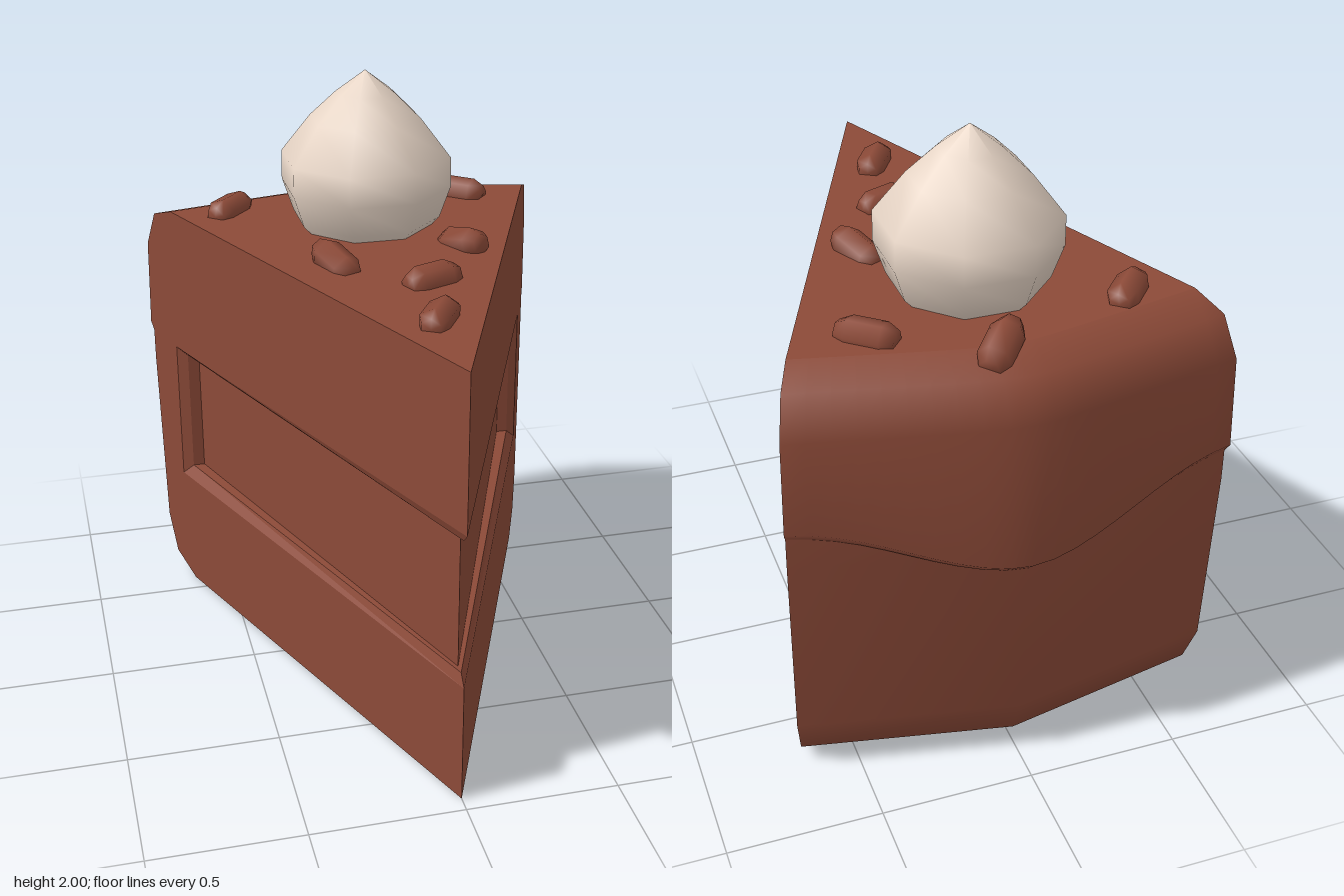
import * as THREE from 'three';

const TIP = 0.945, HALF = Math.PI / 8;
const S = Math.sin(HALF), C = Math.cos(HALF);

function buildGeometry(points, index) {
  const g = new THREE.BufferGeometry();
  g.setAttribute('position', new THREE.Float32BufferAttribute(points.flat(), 3));
  g.setIndex(index);
  g.computeVertexNormals();
  return g;
}

// Point on the curved back: t runs -1..1 across, r is the distance from the tip
function backPoint(t, r, y, rounded) {
  const f = rounded ? 1 - (Math.sqrt(t * t + 0.02) - 0.1414) / 0.8685 : 1 - Math.abs(t);
  return [r * S * t, y, TIP - r * (C + (1 - C) * f)];
}

// Smooth sheet, rows from bottom to top
function sheet(rows) {
  const n = rows[0].length, index = [];
  for (let i = 0; i < rows.length - 1; i++) {
    for (let j = 0; j < n - 1; j++) {
      const a = i * n + j, b = a + n;
      index.push(a, b, a + 1, a + 1, b, b + 1);
    }
  }
  return buildGeometry(rows.flat(), index);
}

// Flat cap fanning out from the tip
function cap(row, y, up) {
  const index = [];
  for (let j = 1; j < row.length; j++) index.push(0, up ? j + 1 : j, up ? j : j + 1);
  return buildGeometry([[0, y, TIP], ...row], index);
}

export function createModel() {
  const group = new THREE.Group();
  const chocolate = new THREE.MeshStandardMaterial({ color: 0x8c4a38, side: THREE.DoubleSide });
  chocolate.name = 'chocolate';
  const cream = new THREE.MeshStandardMaterial({ color: 0xe6d4c5 });
  cream.name = 'cream';
  const add = (name, geometry, material = chocolate) => {
    const mesh = new THREE.Mesh(geometry, material);
    mesh.name = name;
    group.add(mesh);
    return mesh;
  };

  // Sponge back and underside
  const spongeRows = [[1.646, 0], [1.777, 0.06], [1.83, 0.2], [1.86, 0.85], [1.86, 1.02]]
    .map(([r, y]) => [-1, 0, 1].map(t => backPoint(t, r, y, false)));
  add('spongeBack', sheet(spongeRows));
  add('spongeBottom', cap(spongeRows[0], 0, false));

  // Icing with a wavy lower edge that hangs lowest in the middle
  const ts = Array.from({ length: 21 }, (_, i) => i / 10 - 1);
  const dip = t => 0.5 + 0.5 * Math.cos(Math.PI * t);
  const edge = t => 0.96 - 0.18 * dip(t);
  const icingRows = [
    ts.map(t => backPoint(t, 1.858, edge(t), true)),
    ts.map(t => backPoint(t, 1.88 + 0.01 * dip(t), edge(t) + 0.03, true)),
    ...[[1.868, 1.3], [1.805, 1.43], [1.685, 1.47]]
      .map(([r, y]) => ts.map(t => backPoint(t, r, y, true))),
  ];
  add('icingBack', sheet(icingRows));
  add('icingTop', cap(icingRows[4], 1.47, true));

  // Cut sides, each with a recessed filling layer
  const outline = [[0, 0], [1.646, 0], [1.777, 0.06], [1.83, 0.2], [1.86, 0.85], [1.86, 0.96],
    [1.88, 0.99], [1.868, 1.3], [1.805, 1.43], [1.685, 1.47], [0, 1.47],
    [0, 0.945], [1.695, 0.95], [1.695, 0.435], [0, 0.415]];
  for (const s of [1, -1]) {
    const side = s > 0 ? 'left' : 'right';
    const flip = g => {
      if (s < 0) g.index.array.reverse();
      return g;
    };
    const shape = new THREE.Shape(outline.map(p => new THREE.Vector2(...p)));
    const wall = flip(new THREE.ShapeGeometry(shape));
    const p = wall.attributes.position;
    for (let i = 0; i < p.count; i++) {
      const u = p.getX(i);
      p.setXYZ(i, s * u * S, p.getY(i), TIP - u * C);
    }
    wall.computeVertexNormals();
    add(side + 'CutSide', wall);

    // Groove rings from the surface inwards: tip z, end x, end z, heights
    const rings = [
      [TIP, 1.695 * S, TIP - 1.695 * C, 0.415, 0.435, 0.95, 0.945],
      [0.91, 0.612, -0.6, 0.45, 0.472, 0.922, 0.912],
      [0.875, 0.572, -0.6, 0.45, 0.472, 0.922, 0.912],
    ].map(([tz, x, z, a, b, c, d]) => [[0, a, tz], [s * x, b, z], [s * x, c, z], [0, d, tz]]);
    const index = [];
    for (let k = 0; k < 2; k++) {
      for (let i = 0; i < 3; i++) {
        const o = k * 4 + i, n = o + 4;
        index.push(o, o + 1, n + 1, o, n + 1, n);
      }
    }
    const rim = flip(buildGeometry(rings.flat(), index)).toNonIndexed();
    rim.computeVertexNormals();
    add(side + 'GrooveRim', rim);
    const floor = flip(buildGeometry(rings[2], [0, 1, 2, 0, 2, 3]));
    floor.computeVertexNormals();
    add(side + 'Filling', floor);
  }

  // Eight-sided cream dollop
  const dollop = [[0.2, 1.44], [0.255, 1.5], [0.293, 1.61], [0.292, 1.71], [0.19, 1.84],
    [0.1, 1.925], [0, 2]].map(q => new THREE.Vector2(...q));
  add('creamDollop', new THREE.LatheGeometry(dollop, 8, HALF), cream).position.z = -0.355;

  // Sprinkles: x, y, z and direction
  const grain = new THREE.LatheGeometry([[0, -0.095], [0.035, -0.095], [0.055, -0.055],
    [0.055, 0.055], [0.035, 0.095], [0, 0.095]].map(q => new THREE.Vector2(...q)), 6, Math.PI / 6);
  [
    [0.04, 1.475, -0.745, 0.1, -0.05, -0.11],
    [-0.44, 1.475, -0.57, 0.12, 0, -0.14],
    [0.39, 1.475, -0.57, 0.13, 0, 0.11],
    [-0.19, 1.48, 0.04, 0.06, -0.04, 0.14],
    [0.26, 1.475, -0.05, 0.07, 0.04, 0.15],
    [0.075, 1.475, 0.25, 0.17, 0, -0.07],
    [0.015, 1.475, 0.56, 0.09, 0, -0.15],
  ].forEach(([x, y, z, dx, dy, dz], i) => {
    const m = add('sprinkle' + (i + 1), grain);
    m.position.set(x, y, z);
    m.quaternion.setFromUnitVectors(new THREE.Vector3(0, 1, 0),
      new THREE.Vector3(dx, dy, dz).normalize());
  });

  return group;
}
